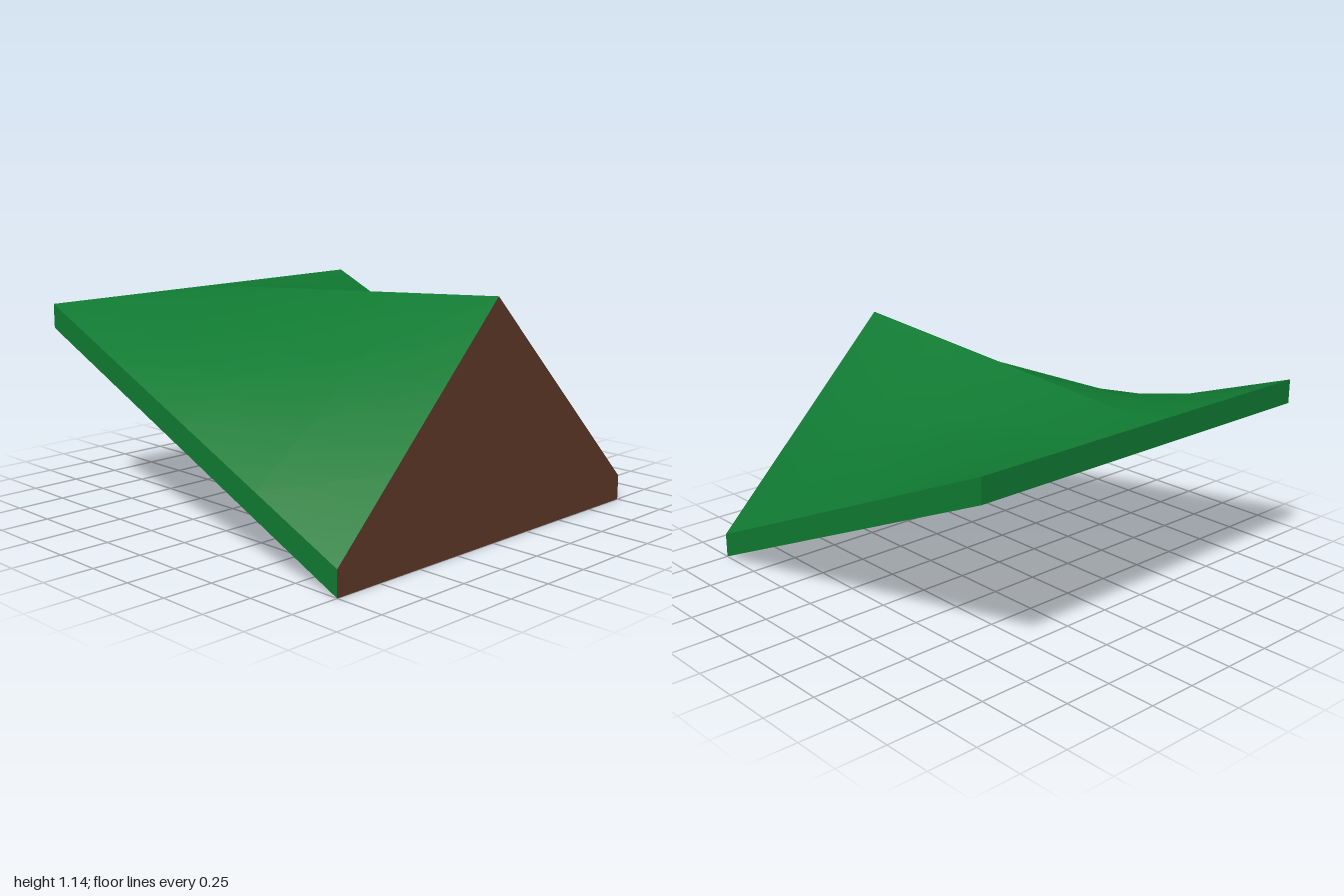
import * as THREE from 'three';

const EAVE = 0.125, APEX = 1.14, BACK_TOP = 1, BACK_BASE = 0.88;
const NX = 3, NT = 4;

function surface(points, index) {
  const g = new THREE.BufferGeometry();
  g.setAttribute('position', new THREE.Float32BufferAttribute(points.flat(), 3));
  g.setIndex(index);
  g.computeVertexNormals();
  return g;
}

// Flat four-cornered face, corners anticlockwise seen from outside
const quad = (...corners) => surface(corners, [0, 1, 2, 0, 2, 3]);

// Twisted roof half: a steep gable slope at the front blending to level at the back
function roofHalf(side) {
  const points = [], index = [];
  for (let j = 0; j <= NT; j++) {
    const t = j / NT;
    for (let i = 0; i <= NX; i++) {
      const x = i / NX;
      const gable = THREE.MathUtils.lerp(APEX, EAVE, x);
      points.push([side * x, THREE.MathUtils.lerp(gable, BACK_TOP, t), 1 - 2 * t]);
    }
  }
  for (let j = 0; j < NT; j++) {
    for (let i = 0; i < NX; i++) {
      const a = j * (NX + 1) + i, b = a + 1, d = a + NX + 1, c = d + 1;
      index.push(...(side > 0 ? [a, b, c, a, c, d] : [a, c, b, a, d, c]));
    }
  }
  return surface(points, index);
}

export function createModel() {
  const group = new THREE.Group();
  const green = new THREE.MeshStandardMaterial({ name: 'roofGreen', color: 0x107a32 });
  const brown = new THREE.MeshStandardMaterial({ name: 'gableBrown', color: 0x5e3a27 });

  const add = (name, geometry, material) => {
    const mesh = new THREE.Mesh(geometry, material);
    mesh.name = name;
    group.add(mesh);
  };

  // Roof halves and slanted side edges, mirrored
  for (const side of [1, -1]) {
    const label = side > 0 ? 'left' : 'right';
    add(label + 'Roof', roofHalf(side), green);
    const edge = [[side, 0, 1], [side, BACK_BASE, -1], [side, BACK_TOP, -1], [side, EAVE, 1]];
    add(label + 'Edge', quad(...(side > 0 ? edge : edge.reverse())), green);
  }

  // Back edge and sloping underside
  add('backEdge', quad([1, BACK_BASE, -1], [-1, BACK_BASE, -1], [-1, BACK_TOP, -1], [1, BACK_TOP, -1]), green);
  add('underside', quad([-1, 0, 1], [-1, BACK_BASE, -1], [1, BACK_BASE, -1], [1, 0, 1]), green);

  // Front gable wall
  const gable = new THREE.Shape([[-1, 0], [1, 0], [1, EAVE], [0, APEX], [-1, EAVE]]
    .map(([x, y]) => new THREE.Vector2(x, y)));
  add('gableWall', new THREE.ShapeGeometry(gable).translate(0, 0, 1), brown);

  return group;
}
